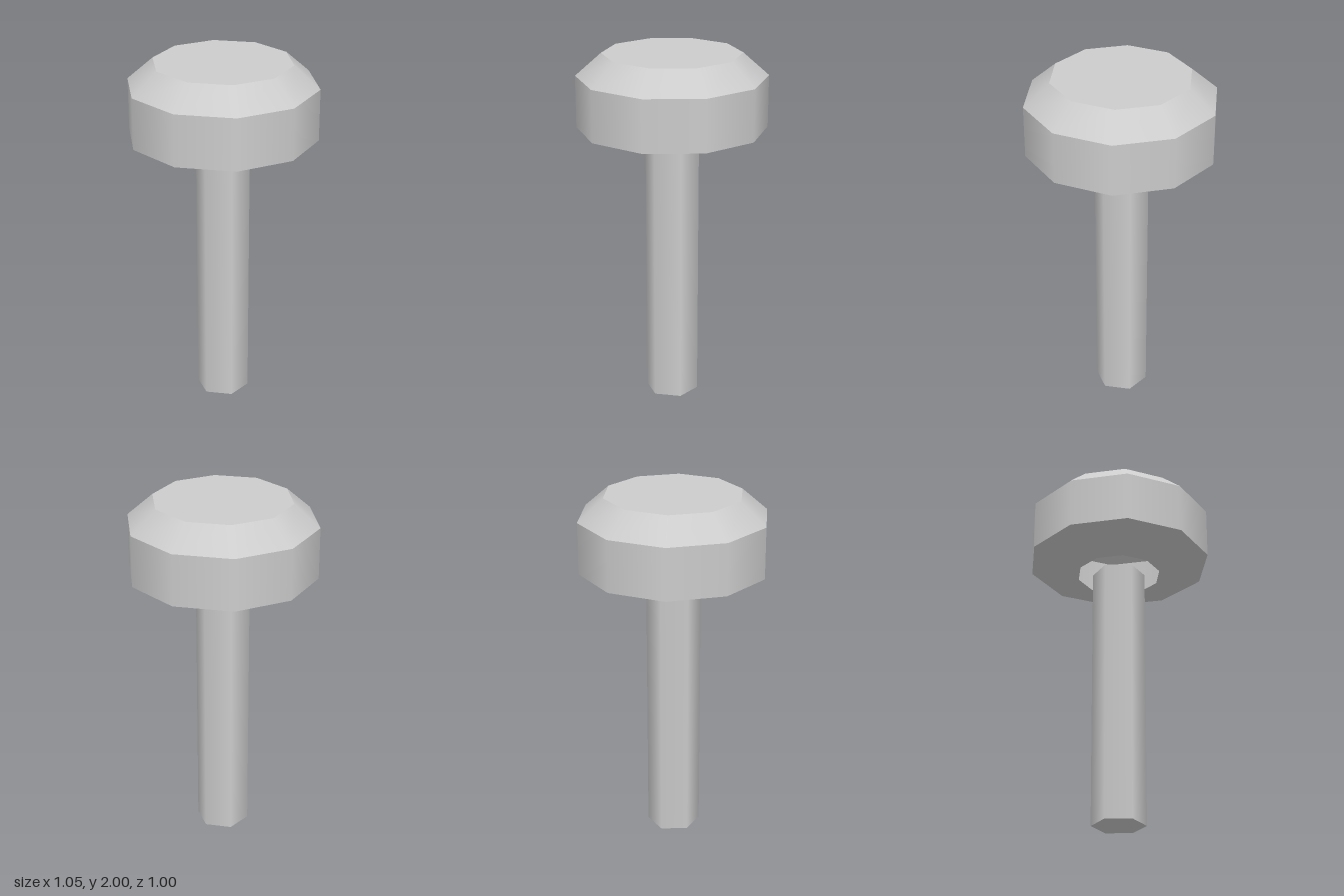
import * as THREE from 'three';

export function createModel() {
  const model = new THREE.Group();
  const grey = new THREE.MeshStandardMaterial({ color: 0xcccccc, side: THREE.DoubleSide });
  grey.name = 'light grey';

  const add = (name, geometry, y, parent) => {
    const mesh = new THREE.Mesh(geometry, grey);
    mesh.name = name;
    mesh.position.y = y;
    parent.add(mesh);
    return mesh;
  };

  // Open band: smooth around, sharp where it meets its neighbours; corners lie on the x axis
  const band = (name, rTop, rBottom, y0, y1, sides, parent) =>
    add(name, new THREE.CylinderGeometry(rTop, rBottom, y1 - y0, sides, 1, true, Math.PI / 2),
      (y0 + y1) / 2, parent);

  // Flat polygon cap facing up or down
  const cap = (name, r, y, sides, up, parent) => {
    add(name, new THREE.CircleGeometry(r, sides), y, parent).rotation.x = up ? -Math.PI / 2 : Math.PI / 2;
  };

  // Hollow ten-sided head, open underneath around the stem
  const head = new THREE.Group();
  head.name = 'head';
  model.add(head);
  band('headUnderside', 0.525, 0.24, 1.515, 1.587, 10, head);
  band('headSide', 0.525, 0.525, 1.587, 1.875, 10, head);
  band('headBevel', 0.383, 0.525, 1.875, 2, 10, head);
  cap('headTop', 0.383, 2, 10, true, head);

  // Six-sided stem ending level with the opening
  const stem = new THREE.Group();
  stem.name = 'stem';
  model.add(stem);
  band('stemSide', 0.15, 0.15, 0, 1.515, 6, stem);
  cap('stemBottom', 0.15, 0, 6, false, stem);
  cap('stemTop', 0.15, 1.515, 6, true, stem);

  return model;
}
